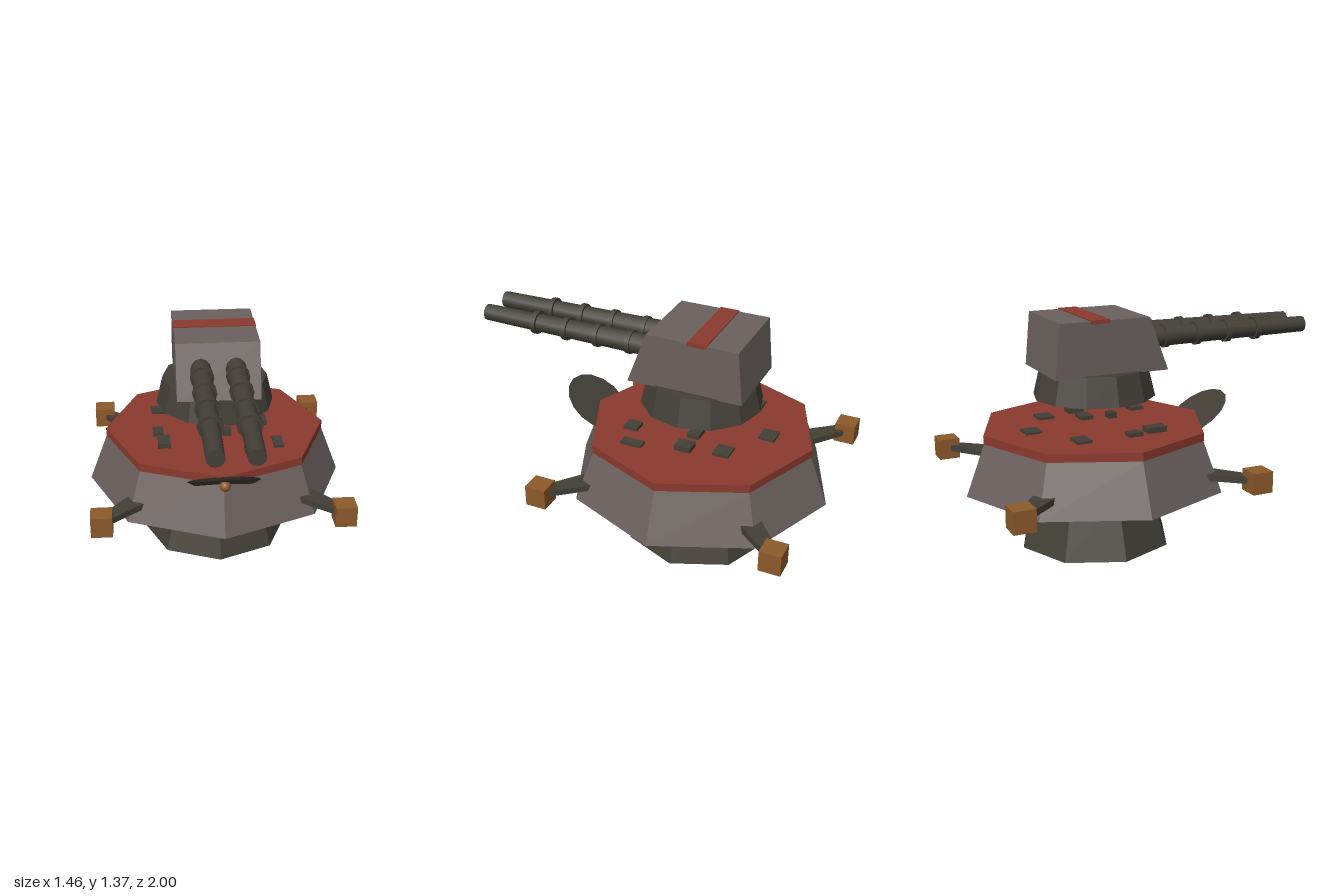
import * as THREE from 'three';

const mat = (name, color) => {
  const m = new THREE.MeshStandardMaterial({ color });
  m.name = name;
  return m;
};

// faceted copy of a geometry
const facet = (g) => {
  const f = g.index ? g.toNonIndexed() : g;
  f.computeVertexNormals();
  return f;
};

export function createModel() {
  const grey = mat('hullGrey', 0x6b615e);
  const dark = mat('darkMetal', 0x433f37);
  const red = mat('deckRed', 0x8b3a2e);
  const amber = mat('amber', 0x8c5a2b);

  const root = new THREE.Group();
  root.name = 'turretPlatform';
  const body = new THREE.Group(); // everything around the vertical axis
  body.name = 'body';
  body.position.z = -0.27;
  root.add(body);

  const add = (parent, name, geo, material, x = 0, y = 0, z = 0) => {
    const m = new THREE.Mesh(geo, material);
    m.name = name;
    m.position.set(x, y, z);
    parent.add(m);
    return m;
  };
  const drum = (rTop, rBottom, y0, y1, sides) =>
    facet(new THREE.CylinderGeometry(rTop, rBottom, y1 - y0, sides).translate(0, (y0 + y1) / 2, 0));

  // stacked octagonal hull
  add(body, 'lowerSkirt', drum(0.318, 0.425, 0.11, 0.45, 8), dark);
  add(body, 'hull', drum(0.625, 0.73, 0.45, 0.725, 8), grey);
  add(body, 'deck', drum(0.627, 0.627, 0.725, 0.77, 8), red);
  add(body, 'bottomLamp', new THREE.SphereGeometry(0.16, 16, 12), amber, 0, 0.162, 0);

  // four corner arms with cubes, four stub thrusters
  for (let i = 0; i < 4; i++) {
    const arm = new THREE.Group();
    arm.name = 'cornerArm';
    arm.rotation.y = Math.PI / 4 + (i * Math.PI) / 2;
    body.add(arm);
    const strut = new THREE.BoxGeometry(0.06, 0.035, 0.28);
    const p = strut.attributes.position;
    for (let k = 0; k < p.count; k++) if (p.getZ(k) < 0) p.setX(k, p.getX(k) * 2);
    add(arm, 'strut', facet(strut), dark, 0, 0.543, 0.79);
    const cube = add(arm, 'endCube', new THREE.BoxGeometry(0.116, 0.116, 0.116), amber, 0, 0.54, 0.923);
    cube.rotation.y = Math.PI / 4;

    const side = new THREE.Group();
    side.name = 'stubMount';
    side.rotation.y = (i * Math.PI) / 2;
    body.add(side);
    const stub = add(side, 'stub', new THREE.CylinderGeometry(0.022, 0.022, 0.11, 8), dark, 0, 0.371, 0.336);
    stub.rotation.x = 0.7;
  }

  // deck hatches: x, z, width, depth, height
  [
    [-0.035, -0.645, 0.1, 0.09, 0.012],
    [-0.31, -0.47, 0.105, 0.085, 0.014],
    [-0.33, -0.18, 0.06, 0.08, 0.022],
    [-0.3, -0.045, 0.07, 0.11, 0.03],
    [0.335, -0.01, 0.055, 0.12, 0.014],
    [0.18, 0.06, 0.08, 0.08, 0.018],
    [0.215, -0.48, 0.1, 0.09, 0.014],
    [0.11, -0.28, 0.1, 0.07, 0.022],
    [0.06, -0.14, 0.05, 0.05, 0.035],
    [0.26, -0.28, 0.08, 0.09, 0.028],
  ].forEach(([x, z, w, d, h]) =>
    add(root, 'deckHatch', new THREE.BoxGeometry(w, h + 0.01, d), dark, x, 0.765 + h / 2, z));

  // tilted dish with its feed ball
  const dish = add(root, 'dish', facet(new THREE.CylinderGeometry(0.195, 0.17, 0.014, 16)), dark, 0, 0.752, 0.373);
  dish.rotation.x = -0.62;
  add(root, 'dishBall', new THREE.SphereGeometry(0.03, 10, 8), amber, 0, 0.76, 0.432);

  // floating turret: collar, wedge head, stripe
  const turret = new THREE.Group();
  turret.name = 'turret';
  root.add(turret);
  add(turret, 'collar', drum(0.295, 0.333, 0.93, 1.087, 12), dark, 0, 0, -0.266);
  const profile = new THREE.Shape([
    [0.068, 1.08], [-0.04, 1.37], [-0.545, 1.37], [-0.573, 1.08],
  ].reverse().map(([z, y]) => new THREE.Vector2(z, y)));
  const head = new THREE.ExtrudeGeometry(profile, { depth: 0.456, bevelEnabled: false });
  head.rotateY(-Math.PI / 2).translate(0.228, 0, 0);
  add(turret, 'head', head, grey);
  add(turret, 'headStripe', new THREE.BoxGeometry(0.46, 0.022, 0.106), red, 0, 1.365, -0.322);

  // twin barrels with bands
  for (const s of [-1, 1]) {
    const gun = new THREE.Group();
    gun.name = s > 0 ? 'leftBarrel' : 'rightBarrel';
    gun.position.set(0.095 * s, 1.237, 0);
    turret.add(gun);
    const tube = new THREE.CylinderGeometry(0.045, 0.058, 1.1, 12).rotateX(Math.PI / 2);
    add(gun, 'barrel', tube, dark, 0, 0, 0.45);
    for (const z of [0.11, 0.303, 0.492, 0.68])
      add(gun, 'band', new THREE.CylinderGeometry(0.064, 0.064, 0.028, 12).rotateX(Math.PI / 2), dark, 0, 0, z);
  }
  return root;
}
